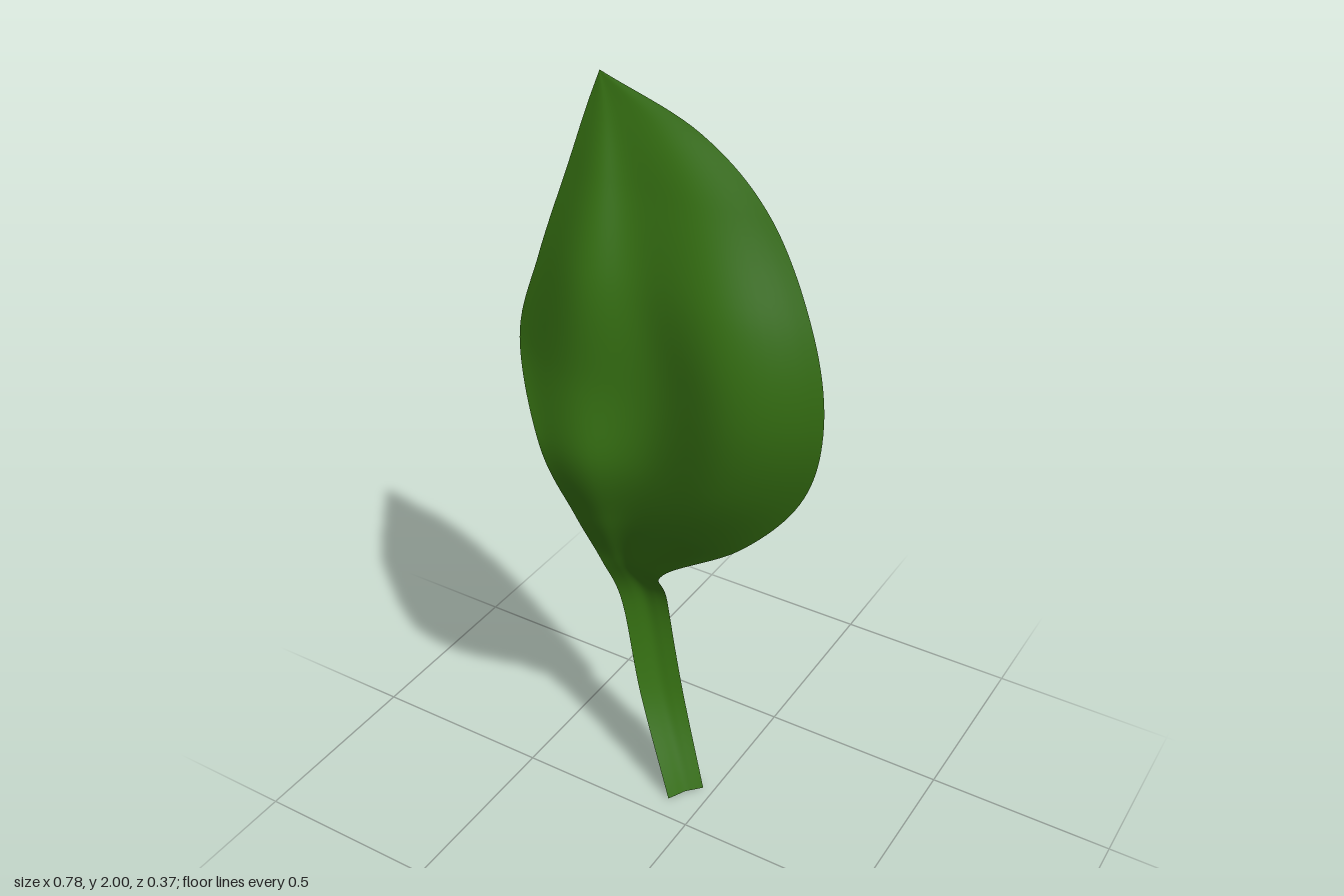
import * as THREE from 'three';

// Cross-sections from stem foot to tip:
// y, left edge x z, midrib x z, right edge x z, forward bulge of each half
const SECTIONS = [
  [0.0, -0.09, -0.06, -0.065, -0.108, -0.03, -0.145, 0],
  [0.3, -0.2, -0.1, -0.163, -0.147, -0.116, -0.176, 0],
  [0.6, -0.24, -0.085, -0.2, -0.13, -0.145, -0.15, 0],
  [0.8, -0.23, 0.015, -0.175, -0.015, -0.07, -0.01, 0],
  [1.0, -0.23, 0.12, -0.1, 0.075, 0.17, 0.05, 0.015],
  [1.2, -0.28, 0.172, -0.02, 0.125, 0.33, 0.08, 0.038],
  [1.4, -0.39, 0.075, 0, 0.13, 0.385, 0.1, 0.048],
  [1.6, -0.35, 0.04, -0.05, 0.1, 0.345, 0.08, 0.043],
  [1.8, -0.295, -0.005, -0.12, 0.02, 0.21, 0.02, 0.02],
  [1.92, -0.264, -0.035, -0.18, -0.027, 0.015, -0.035, 0.006],
  [2.0, -0.24, -0.055, -0.24, -0.055, -0.24, -0.055, 0],
];

const smoothCurve = (points) => new THREE.CatmullRomCurve3(points, false, 'catmullrom', 0.5);

// Five lengthwise rails: left edge, left lobe, midrib, right lobe, right edge
function makeRails() {
  const rails = [[], [], [], [], []];
  for (const [y, lx, lz, mx, mz, rx, rz, bulge] of SECTIONS) {
    const add = (i, x, z) => rails[i].push(new THREE.Vector3(x, y, z));
    add(0, lx, lz);
    add(1, (lx + mx) / 2, (lz + mz) / 2 + bulge);
    add(2, mx, mz);
    add(3, (mx + rx) / 2, (mz + rz) / 2 + bulge);
    add(4, rx, rz);
  }
  return rails.map(smoothCurve);
}

// Skin a smooth sheet across the rails
function makeLeafGeometry(rows, cols) {
  const rails = makeRails();
  const positions = [];
  const index = [];
  for (let j = 0; j <= rows; j++) {
    const cross = smoothCurve(rails.map((rail) => rail.getPoint(j / rows)));
    for (let i = 0; i <= cols; i++) {
      positions.push(...cross.getPoint(i / cols).toArray());
      if (i === cols || j === rows) continue;
      const a = j * (cols + 1) + i;
      const b = a + cols + 1;
      index.push(a, a + 1, b);
      if (j < rows - 1) index.push(a + 1, b + 1, b); // the last row closes to the tip
    }
  }
  const geometry = new THREE.BufferGeometry();
  geometry.setAttribute('position', new THREE.Float32BufferAttribute(positions, 3));
  geometry.setIndex(index);
  geometry.computeVertexNormals();
  return geometry;
}

export function createModel() {
  const group = new THREE.Group();
  group.name = 'leaf';
  const material = new THREE.MeshStandardMaterial({ color: 0x356f12, side: THREE.DoubleSide });
  const leaf = new THREE.Mesh(makeLeafGeometry(100, 32), material);
  leaf.name = 'leafBladeAndStem';
  group.add(leaf);
  return group;
}
